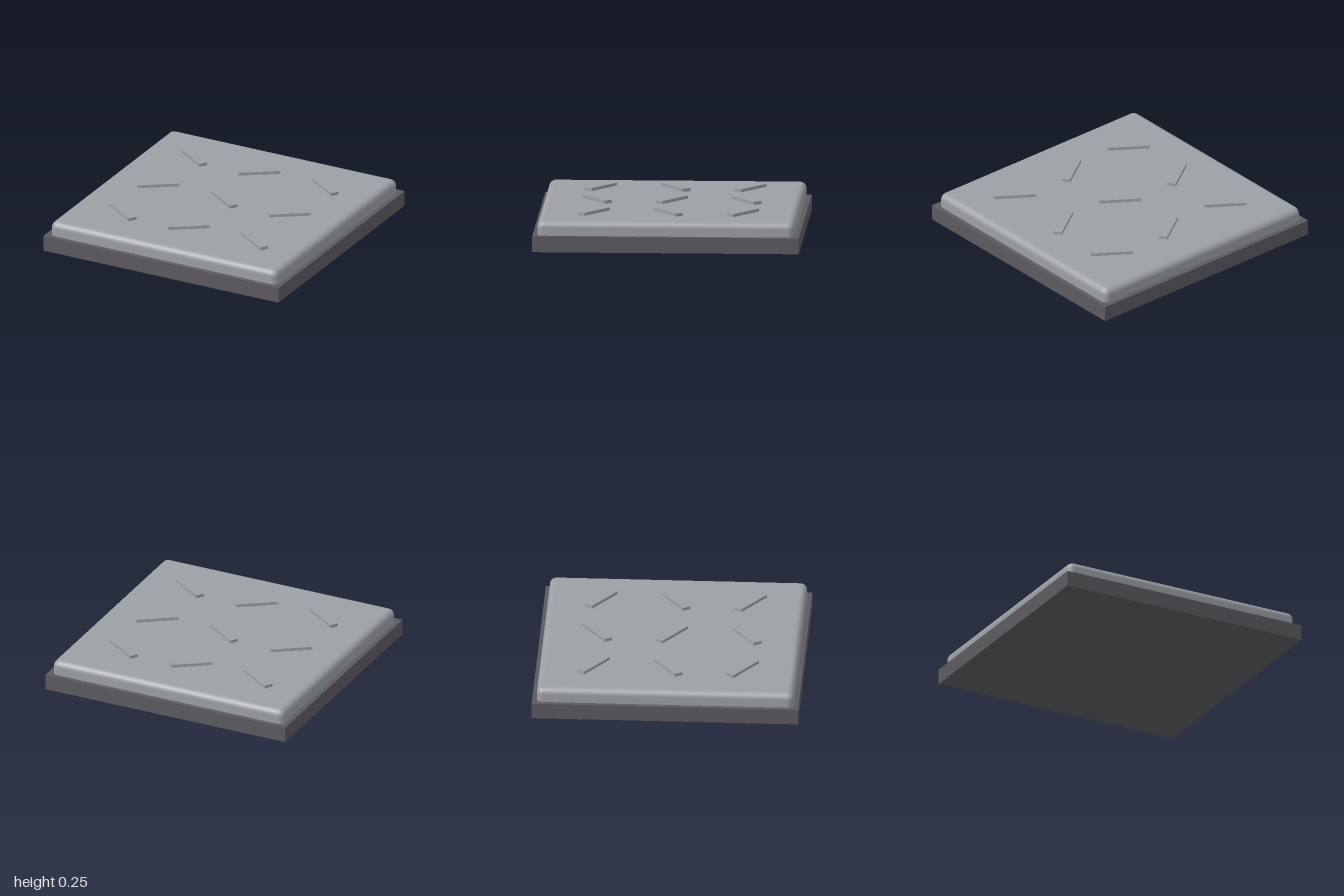
import * as THREE from 'three';
import { RoundedBoxGeometry } from 'three/addons/geometries/RoundedBoxGeometry.js';

export function createModel() {
  const model = new THREE.Group();
  model.name = 'floorPlate';

  const darkMetal = new THREE.MeshStandardMaterial({ color: 0x5c5a60 });
  const plateMetal = new THREE.MeshStandardMaterial({ color: 0x9ca0a5 });

  function add(name, geometry, material, x, y, z) {
    const mesh = new THREE.Mesh(geometry, material);
    mesh.name = name;
    mesh.position.set(x, y, z);
    model.add(mesh);
    return mesh;
  }

  // Square base slab
  add('base', new THREE.BoxGeometry(2, 0.12, 2), darkMetal, 0, 0.06, 0);

  // Rounded plate, its lower part sunk into the base
  add('plate', new RoundedBoxGeometry(1.93, 0.18, 1.93, 3, 0.05), plateMetal, 0, 0.14, 0);

  // Raised grip bars in a 3 x 3 grid, slanting alternately
  const bar = new THREE.BoxGeometry(0.315, 0.04, 0.065);
  for (let row = -1; row <= 1; row++) {
    for (let col = -1; col <= 1; col++) {
      const grip = add('gripBar', bar, plateMetal, col * 0.56, 0.233, row * 0.56);
      grip.rotation.y = (row + col) % 2 === 0 ? -0.6 : 0.6;
    }
  }
  return model;
}
